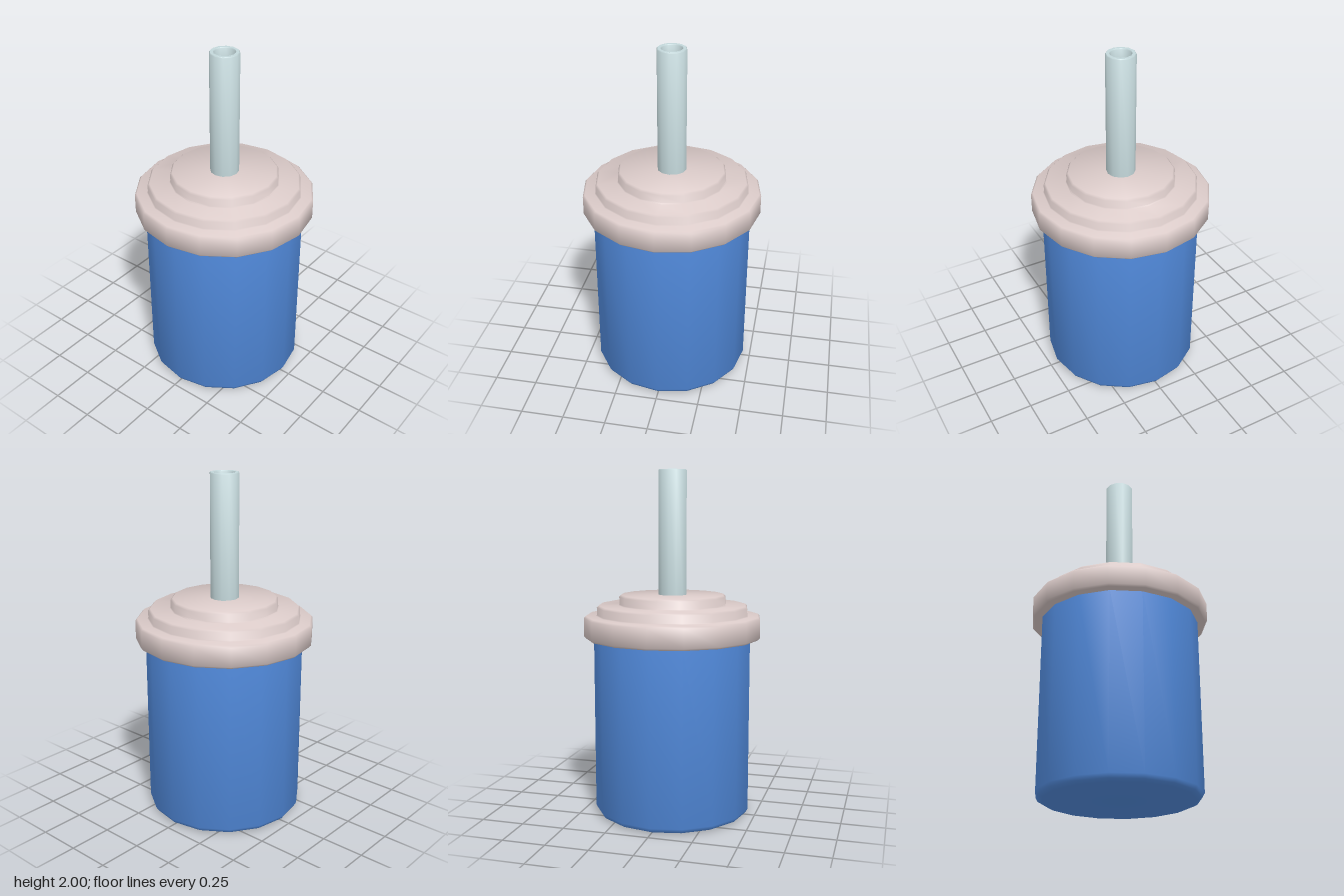
import * as THREE from 'three';
import { toCreasedNormals } from 'three/addons/utils/BufferGeometryUtils.js';

const blue = new THREE.MeshStandardMaterial({ name: 'cup blue', color: 0x538de0 });
const beige = new THREE.MeshStandardMaterial({ name: 'lid beige', color: 0xdacac8 });
const pale = new THREE.MeshStandardMaterial({ name: 'straw pale teal', color: 0xc3d7da });

// Turned part from a bottom-to-top profile of [radius, height] pairs
function turned(name, profile, sides, material) {
  const points = profile.map(([r, y]) => new THREE.Vector2(r, y));
  const geometry = toCreasedNormals(new THREE.LatheGeometry(points, sides), 0.9);
  const mesh = new THREE.Mesh(geometry, material);
  mesh.name = name;
  return mesh;
}

export function createModel() {
  const group = new THREE.Group();
  group.name = 'cupWithStraw';

  // Cup with a chamfered base
  group.add(turned('cup', [
    [0, 0], [0.42, 0], [0.445, 0.012], [0.458, 0.035], [0.458, 1.05],
  ], 16, blue));

  // Three-step lid with small bevels on each rim
  const b = 0.011;
  const lid = [[0, 1.04], [0.515 - b, 1.04], [0.515, 1.04 + b]];
  const steps = [[0.515, 1.17], [0.44, 1.23], [0.31, 1.29]];
  steps.forEach(([r, top], i) => {
    if (i > 0) lid.push([r + b / 2, steps[i - 1][1]], [r, steps[i - 1][1] + b / 2]);
    lid.push([r, top - b], [r - b, top]);
  });
  lid.push([0, 1.29]);
  group.add(turned('lid', lid, 16, beige));

  // Hollow straw, with a floor inside the bore
  group.add(turned('straw', [
    [0.083, 1.27], [0.083, 1.995], [0.079, 2], [0.062, 2], [0.058, 1.995],
    [0.058, 1.9], [0, 1.9],
  ], 12, pale));

  return group;
}
